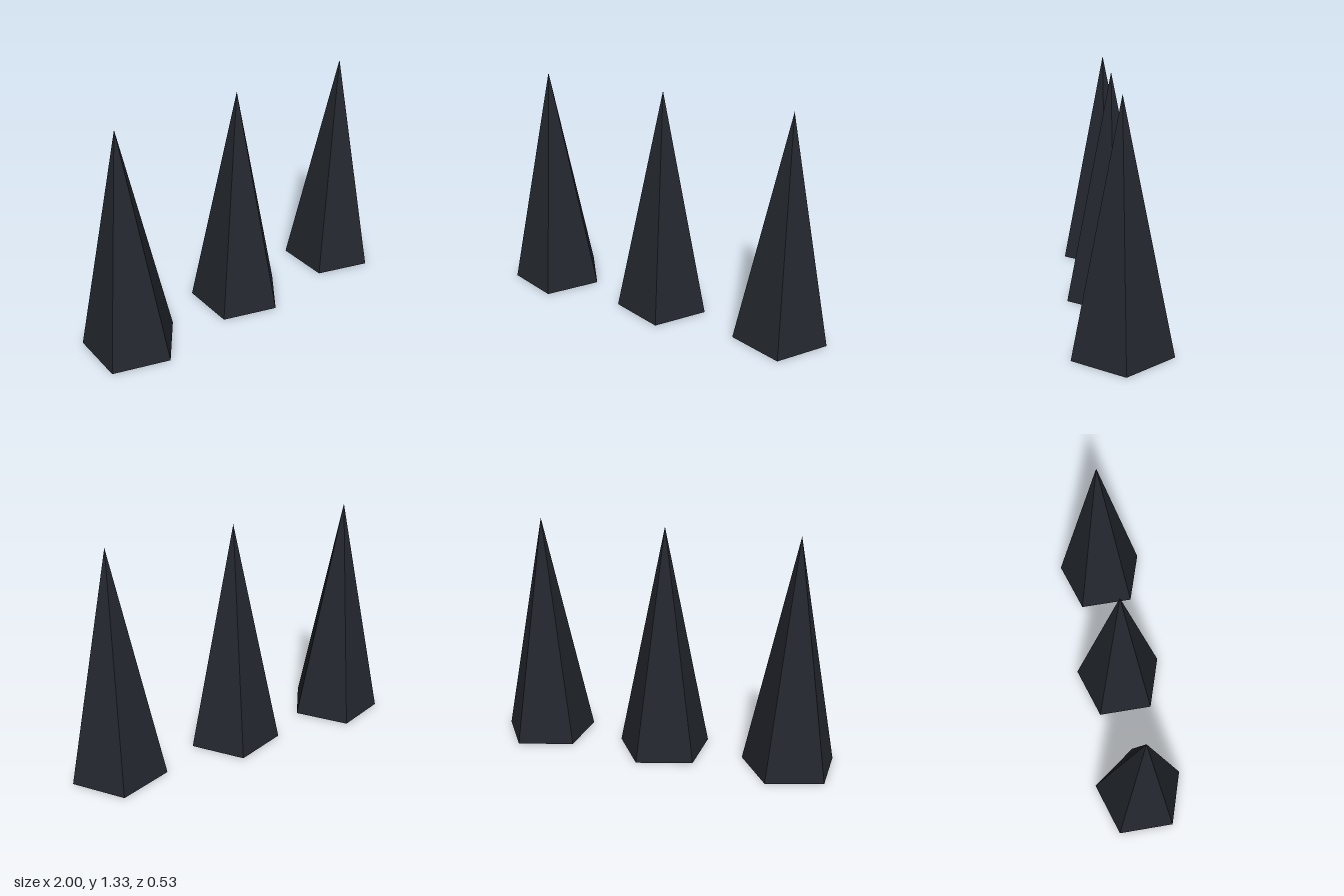
import * as THREE from 'three';

const RADIUS = 0.2764; // pentagon circumradius: 0.5 wide along x
const HEIGHT = 1.325;
const SPACING = 0.75;

export function createModel() {
  const group = new THREE.Group();
  group.name = 'spikeRow';

  const material = new THREE.MeshStandardMaterial({ color: 0x23272e, flatShading: true });

  // Five-sided spike with one corner pointing to +x, standing on y = 0
  const geometry = new THREE.ConeGeometry(RADIUS, HEIGHT, 5, 1, false, Math.PI / 2);
  geometry.translate(0, HEIGHT / 2, 0);
  // Centre the pentagon's extent, not its axis, on x = 0
  const offset = -RADIUS * (1 - Math.cos(Math.PI / 5)) / 2;

  // Row of three identical spikes
  ['rightSpike', 'middleSpike', 'leftSpike'].forEach((name, i) => {
    const spike = new THREE.Mesh(geometry, material);
    spike.name = name;
    spike.position.x = (i - 1) * SPACING + offset;
    group.add(spike);
  });

  return group;
}
